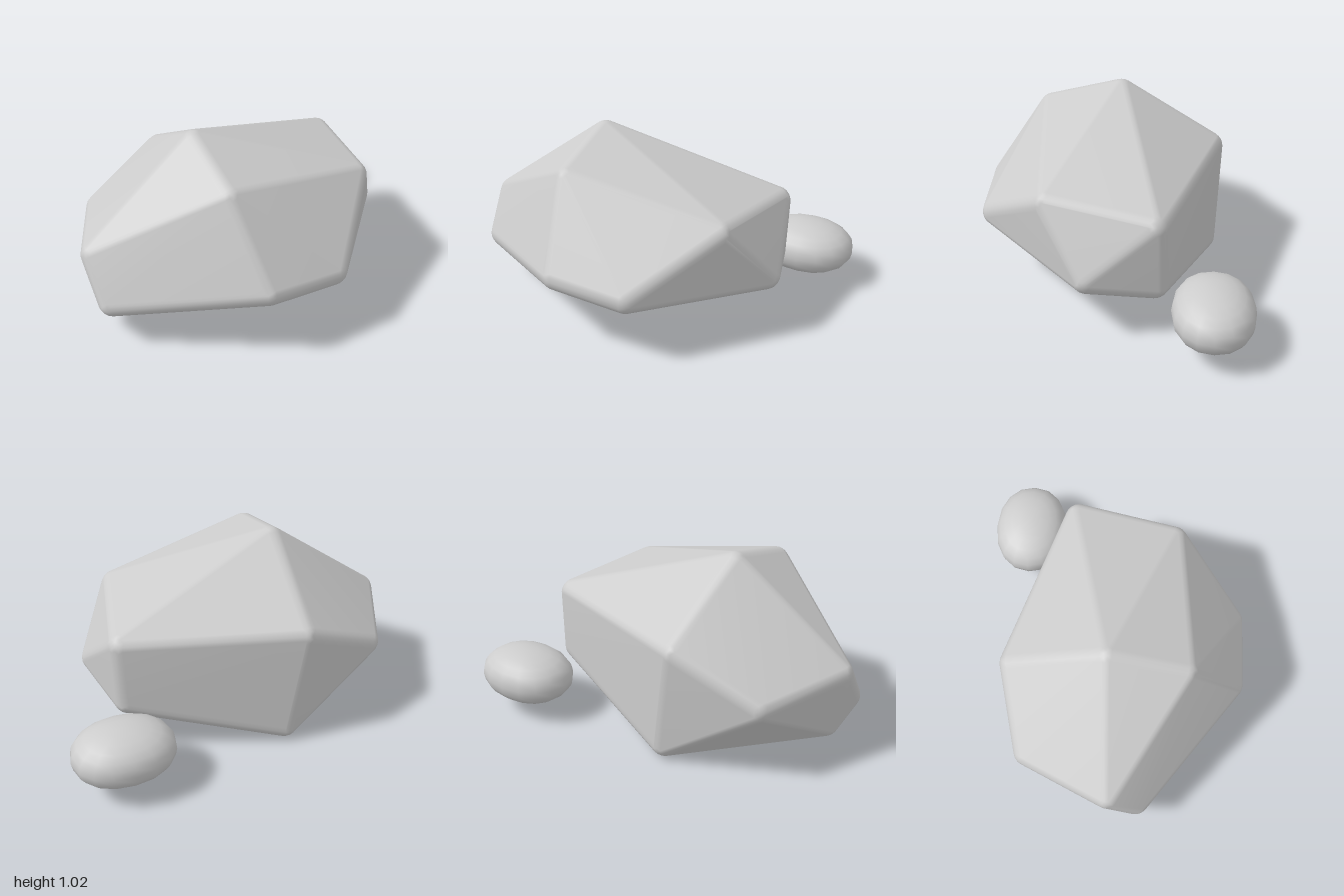
import * as THREE from 'three';
import { mergeVertices } from 'three/addons/utils/BufferGeometryUtils.js';
import { ConvexGeometry } from 'three/addons/geometries/ConvexGeometry.js';

// Convex boulder with soft corners: the hull of equal balls, one per corner.
function roundedHull(centres, radius) {
  const ball = new THREE.IcosahedronGeometry(radius, 3);
  ball.deleteAttribute('normal');
  ball.deleteAttribute('uv');
  const ballPos = mergeVertices(ball).attributes.position;
  const points = [];
  for (const c of centres) {
    for (let i = 0; i < ballPos.count; i++) {
      points.push(new THREE.Vector3(...c).add(new THREE.Vector3().fromBufferAttribute(ballPos, i)));
    }
  }
  // Area-weighted normals keep the broad facets flat and the edges soft.
  const hull = new ConvexGeometry(points);
  hull.deleteAttribute('normal');
  const smooth = mergeVertices(hull, 1e-5);
  smooth.computeVertexNormals();
  return smooth;
}

// Slightly squared ellipsoid
function pebbleGeometry(rx, ry, rz) {
  const geo = new THREE.SphereGeometry(1, 16, 12);
  const pos = geo.attributes.position;
  const bulge = (v, r) => Math.sign(v) * Math.abs(v) ** 0.93 * r;
  for (let i = 0; i < pos.count; i++) {
    pos.setXYZ(i, bulge(pos.getX(i), rx), bulge(pos.getY(i), ry), bulge(pos.getZ(i), rz));
  }
  geo.deleteAttribute('normal');
  geo.deleteAttribute('uv');
  const smooth = mergeVertices(geo, 1e-5);
  smooth.computeVertexNormals();
  return smooth;
}

export function createModel() {
  const group = new THREE.Group();
  group.name = 'rocks';
  const stone = new THREE.MeshStandardMaterial({ color: 0xcccccc });
  stone.name = 'stone grey';

  const cornerCentres = [
    [-0.31, 0.945, 0.0], // peak
    [-0.33, 0.84, 0.39], // front end of the ridge
    [0.48, 0.67, 0.32], // upper shoulders
    [0.61, 0.63, -0.22],
    [-0.28, 0.645, -0.505],
    [-0.27, 0.43, 0.665], // front edge
    [0.12, 0.395, 0.665],
    [0.675, 0.36, 0.11], // right side
    [0.6, 0.295, -0.23],
    [-0.92, 0.49, 0.03], // left side
    [-0.91, 0.28, 0.18],
    [-0.71, 0.44, -0.41],
    [-0.86, 0.16, 0.05], // underside
    [-0.2, 0.08, -0.485],
  ];
  const boulder = new THREE.Mesh(roundedHull(cornerCentres, 0.08), stone);
  boulder.name = 'boulder';
  group.add(boulder);

  // Small rounded stone resting beside the boulder
  const pebble = new THREE.Mesh(pebbleGeometry(0.275, 0.147, 0.215), stone);
  pebble.name = 'pebble';
  pebble.position.set(0.725, 0.22, -0.535);
  group.add(pebble);

  return group;
}
